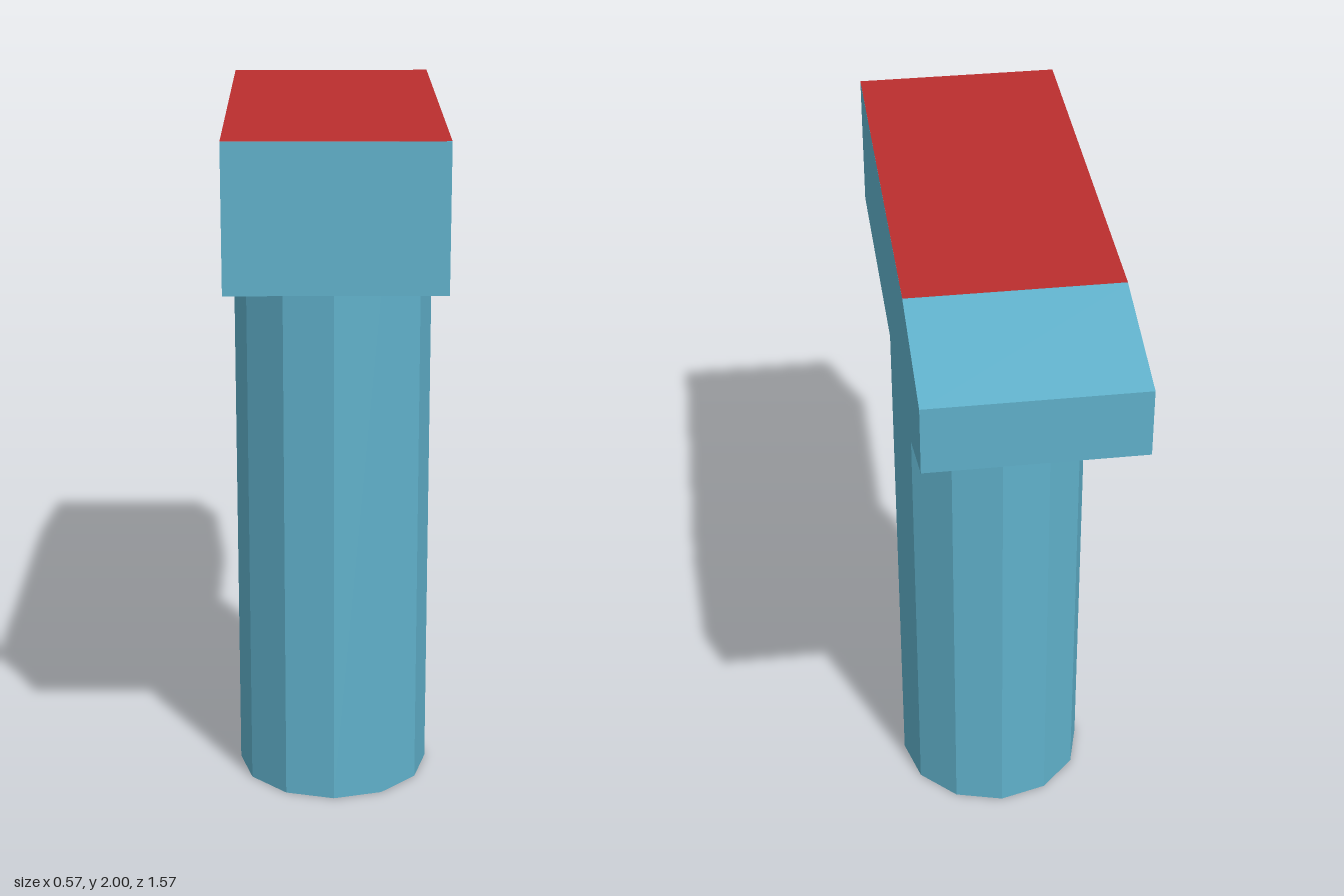
import * as THREE from 'three';

export function createModel() {
  const model = new THREE.Group();
  model.name = 'hammer';

  const blue = new THREE.MeshStandardMaterial({ color: 0x60b1cb, flatShading: true });
  blue.name = 'steel blue';
  const red = new THREE.MeshStandardMaterial({ color: 0xbb2e2e, flatShading: true });
  red.name = 'red';

  const add = (name, geometry, material, x, y, z) => {
    const mesh = new THREE.Mesh(geometry, material);
    mesh.name = name;
    mesh.position.set(x, y, z);
    model.add(mesh);
    return mesh;
  };

  // Twelve-sided handle, set slightly towards the front
  const headBottom = 1.615;
  add('handle', new THREE.CylinderGeometry(0.278, 0.278, headBottom, 12), blue, 0, headBottom / 2, 0.077);

  // Head: side profile with a tapered back end, extruded across the width
  const width = 0.566;
  const profile = new THREE.Shape([
    [-0.783, headBottom], [0.413, headBottom], [0.783, 1.737],
    [0.783, 1.924], [0.413, 2], [-0.783, 2],
  ].map(([back, y]) => new THREE.Vector2(back, y)));
  const head = new THREE.ExtrudeGeometry(profile, { depth: width, bevelEnabled: false });
  head.translate(0, 0, -width / 2).rotateY(Math.PI / 2);
  add('head', head, blue, 0, 0, 0);

  // Red face covering the flat top of the head
  const top = new THREE.PlaneGeometry(width, 1.196).rotateX(-Math.PI / 2);
  add('headTop', top, red, 0, 2.001, 0.185);

  return model;
}
